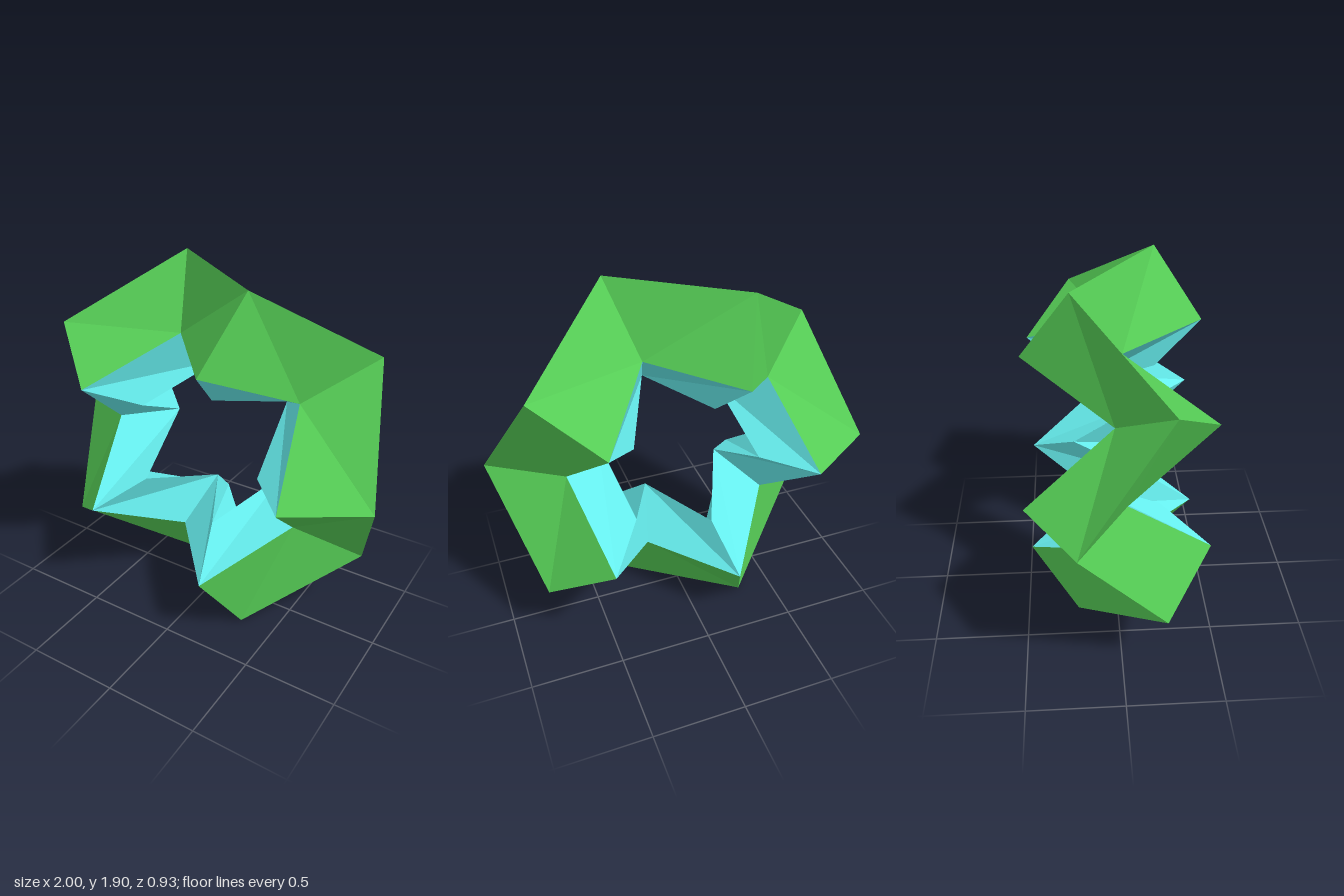
import * as THREE from 'three';

const N = 10, CY = 0.951;
const Z_RIDGE = 0.22, Z_SIDE = 0.247;

// Closed zigzag loop: each corner sways alternately forwards and backwards,
// shifted by a constant depth from the ring's swaying centre line.
function zigzag(radius, dz) {
  return Array.from({ length: N }, (_, k) => {
    const a = (k * 2 * Math.PI) / N;
    const z = (k % 2 ? -Z_RIDGE : Z_RIDGE) + dz;
    return [radius * Math.cos(a), CY + radius * Math.sin(a), z];
  });
}

// Folded band between two loops; each panel is creased on the diagonal that
// starts at the outer corner of the given parity.
function band(name, outer, inner, isFront, color) {
  const pos = [];
  const tri = (a, b, c) => pos.push(...a, ...(isFront ? b : c), ...(isFront ? c : b));
  for (let k = 0; k < N; k++) {
    const n = (k + 1) % N;
    const creaseFromK = (k % 2 === 0) === isFront;
    if (creaseFromK) {
      tri(outer[k], outer[n], inner[n]);
      tri(outer[k], inner[n], inner[k]);
    } else {
      tri(outer[k], outer[n], inner[k]);
      tri(outer[n], inner[n], inner[k]);
    }
  }
  const geo = new THREE.BufferGeometry();
  geo.setAttribute('position', new THREE.Float32BufferAttribute(pos, 3));
  geo.computeVertexNormals();
  const mesh = new THREE.Mesh(geo, new THREE.MeshStandardMaterial({ color, flatShading: true }));
  mesh.name = name;
  return mesh;
}

export function createModel() {
  const group = new THREE.Group();
  group.name = 'foldedRing';

  // Four corners of the kite-shaped cross-section
  const ridge = zigzag(1, 0);
  const front = zigzag(0.618, Z_SIDE);
  const back = zigzag(0.618, -Z_SIDE);
  const hole = zigzag(0.382, 0);

  const green = 0x55cc55, cyan = 0x66eeee;
  group.add(
    band('outerFrontBand', ridge, front, true, green),
    band('outerBackBand', ridge, back, false, green),
    band('innerFrontBand', front, hole, true, cyan),
    band('innerBackBand', back, hole, false, cyan),
  );
  return group;
}
